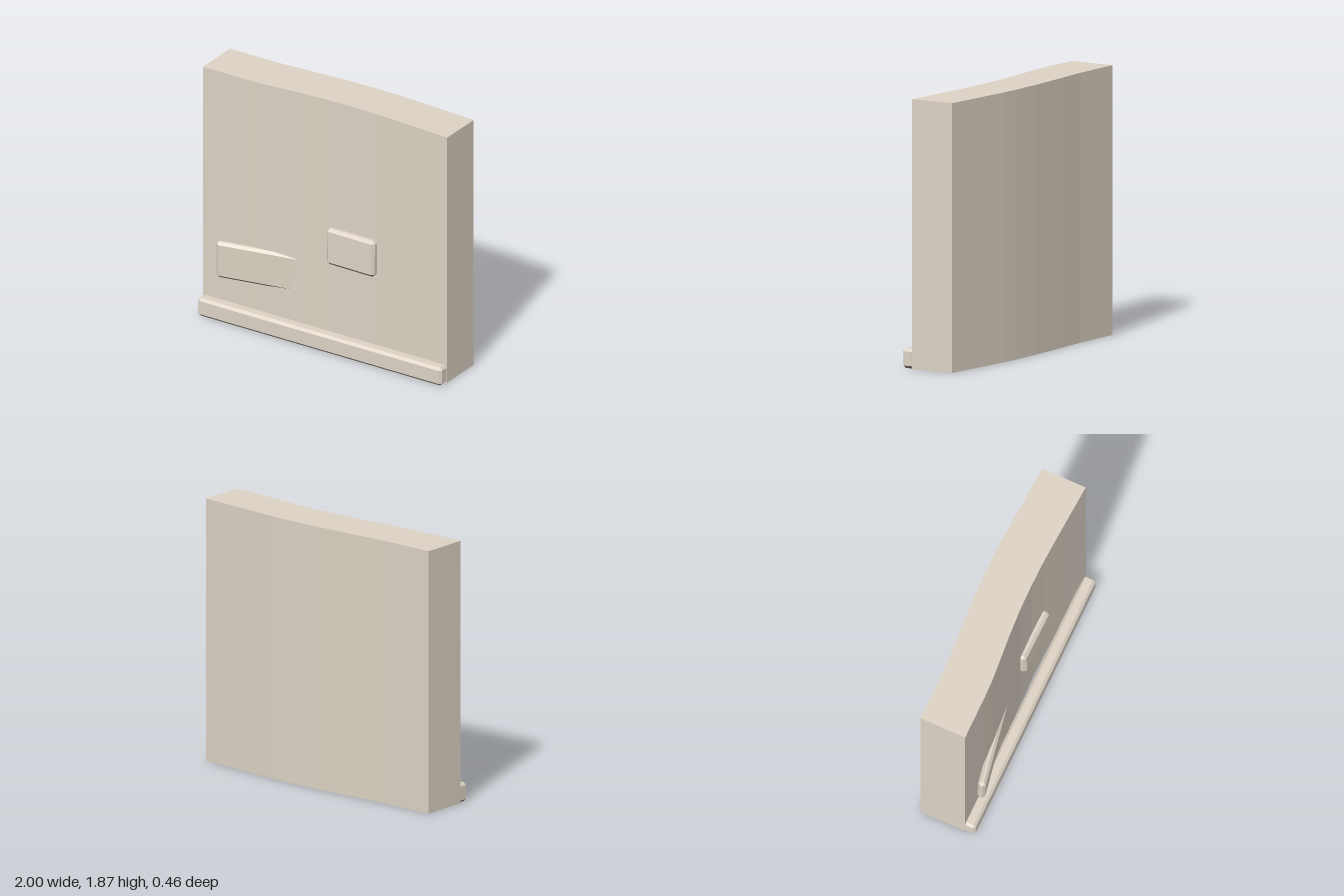
import * as THREE from 'three';
import { ConvexGeometry } from 'three/addons/geometries/ConvexGeometry.js';

const stone = new THREE.MeshStandardMaterial({ color: 0xdcd2c4 });
stone.name = 'warm stone';
const underside = new THREE.MeshStandardMaterial({ color: 0x8d847a });
underside.name = 'dark stone underside';

// Box with chamfered edges and corners, centred on its own origin
function chamferedBox(w, h, d, c) {
  const points = [];
  for (const sx of [-1, 1]) for (const sy of [-1, 1]) for (const sz of [-1, 1]) {
    const [x, y, z] = [w / 2, h / 2, d / 2];
    points.push(
      new THREE.Vector3(sx * x, sy * (y - c), sz * (z - c)),
      new THREE.Vector3(sx * (x - c), sy * y, sz * (z - c)),
      new THREE.Vector3(sx * (x - c), sy * (y - c), sz * z)
    );
  }
  return new ConvexGeometry(points);
}

// Assign the dark material to every downward-facing triangle
function splitUnderside(geometry) {
  const normal = geometry.attributes.normal;
  geometry.clearGroups();
  for (let i = 0; i < normal.count; i += 3) {
    geometry.addGroup(i, 3, normal.getY(i) < -0.5 ? 1 : 0);
  }
  return geometry;
}

export function createModel() {
  const group = new THREE.Group();
  group.name = 'wallSection';

  function add(name, geometry, position = [0, 0, 0], rotation = [0, 0, 0]) {
    const mesh = new THREE.Mesh(splitUnderside(geometry), [stone, underside]);
    mesh.name = name;
    mesh.position.set(...position);
    mesh.rotation.set(...rotation);
    group.add(mesh);
  }

  // Gently curved wall: plan outline as [x, z], front edge then back edge
  const front = [[-1, 0.151], [-0.67, 0.151], [-0.53, 0.146], [-0.36, 0.132], [-0.2, 0.118],
    [0, 0.106], [0.2, 0.103], [0.4, 0.107], [0.65, 0.121], [1, 0.143]];
  const back = [[1, -0.185], [0.65, -0.207], [0.4, -0.222], [0.25, -0.226], [0, -0.222],
    [-0.3, -0.205], [-0.6, -0.187], [-0.8, -0.185], [-1, -0.186]];
  const plan = new THREE.Shape([...front, ...back].map(([x, z]) => new THREE.Vector2(x, -z)));
  const wall = new THREE.ExtrudeGeometry(plan, { depth: 1.87, bevelEnabled: false });
  wall.rotateX(-Math.PI / 2);
  add('wall', wall);

  // Straight plinth along the foot of the front
  add('plinth', chamferedBox(2, 0.135, 0.092, 0.018), [0, 0.0675, 0.179]);

  // Protruding stones, slightly askew in the wall face
  add('leftStone', chamferedBox(0.72, 0.272, 0.055, 0.018), [-0.496, 0.472, 0.138], [0.025, 0.18, 0]);
  add('rightStone', chamferedBox(0.395, 0.27, 0.09, 0.02), [0.202, 0.77, 0.105], [-0.02, -0.02, 0.003]);

  return group;
}
